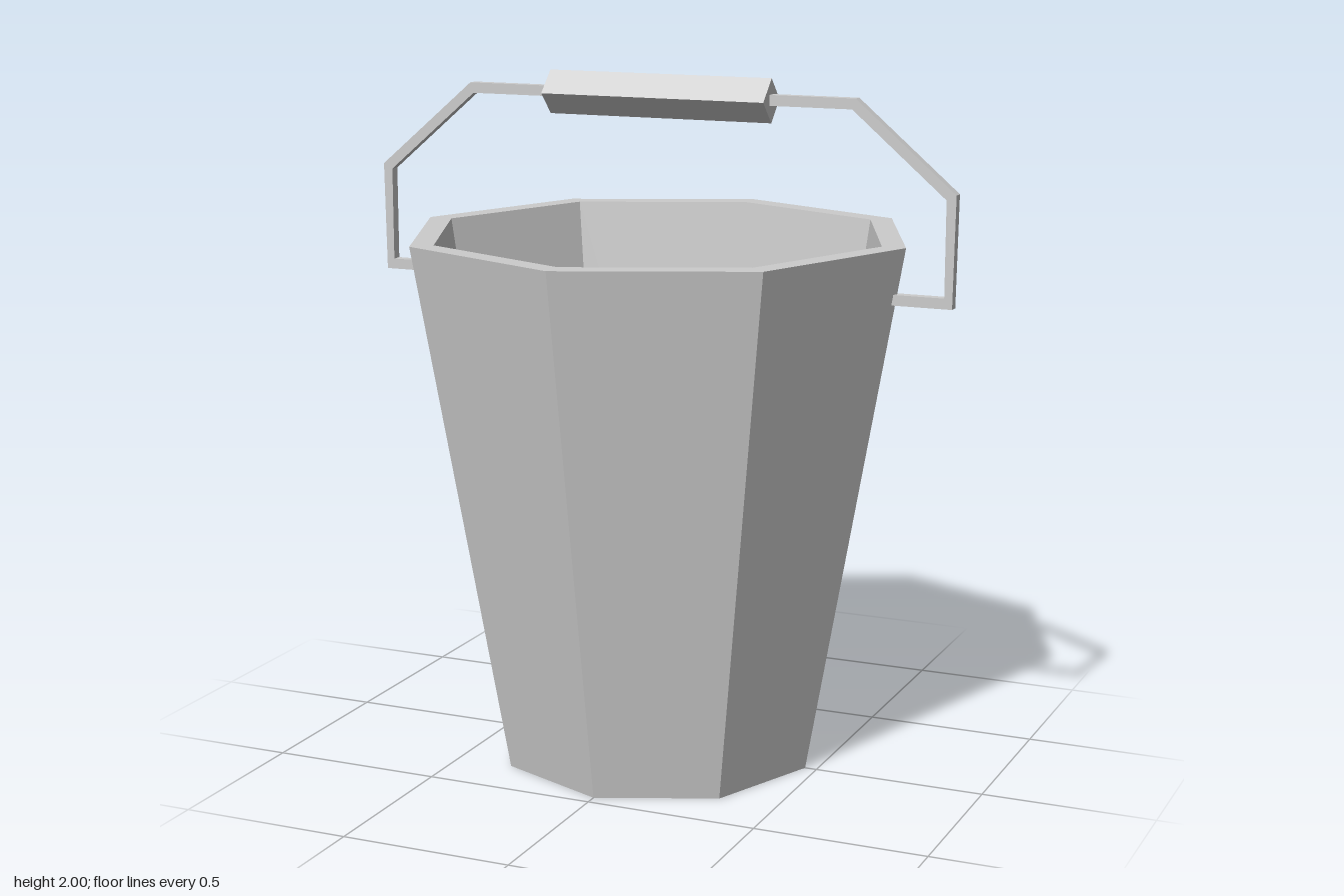
import * as THREE from 'three';

const material = new THREE.MeshStandardMaterial({ color: 0xcccccc, flatShading: true });

function addPart(group, name, geometry) {
  const mesh = new THREE.Mesh(geometry, material);
  mesh.name = name;
  group.add(mesh);
  return mesh;
}

export function createModel() {
  const group = new THREE.Group();
  group.name = 'bucket';

  // Eight-sided shell: underside, outer wall, rim, inner wall, floor
  const profile = [[0, 0], [0.465, 0], [0.74, 1.55], [0.67, 1.55], [0.443, 0.08], [0, 0.08]]
    .map(([r, y]) => new THREE.Vector2(r, y));
  addPart(group, 'bucketBody', new THREE.LatheGeometry(profile, 8));

  // Bent square-section handle: outer edge, then inner edge, each mirrored in x
  const outer = [[0.70, 1.39], [0.88, 1.39], [0.885, 1.705], [0.592, 1.955]];
  const inner = [[0.70, 1.42], [0.857, 1.42], [0.857, 1.69], [0.582, 1.925]];
  const mirror = (points) => points.map(([x, y]) => [-x, y]);
  const outline = [
    ...outer,
    ...mirror(outer).reverse(),
    ...mirror(inner),
    ...inner.slice().reverse(),
  ].map(([x, y]) => new THREE.Vector2(x, y));
  const depth = 0.03;
  const handle = new THREE.ExtrudeGeometry(new THREE.Shape(outline), { depth, bevelEnabled: false });
  handle.translate(0, 0, -depth / 2);
  addPart(group, 'handle', handle);

  // Diamond-section grip around the middle of the handle
  const grip = new THREE.CylinderGeometry(0.0625, 0.0625, 0.68, 4);
  grip.rotateZ(Math.PI / 2);
  grip.translate(0, 1.9375, 0);
  addPart(group, 'grip', grip);

  return group;
}
